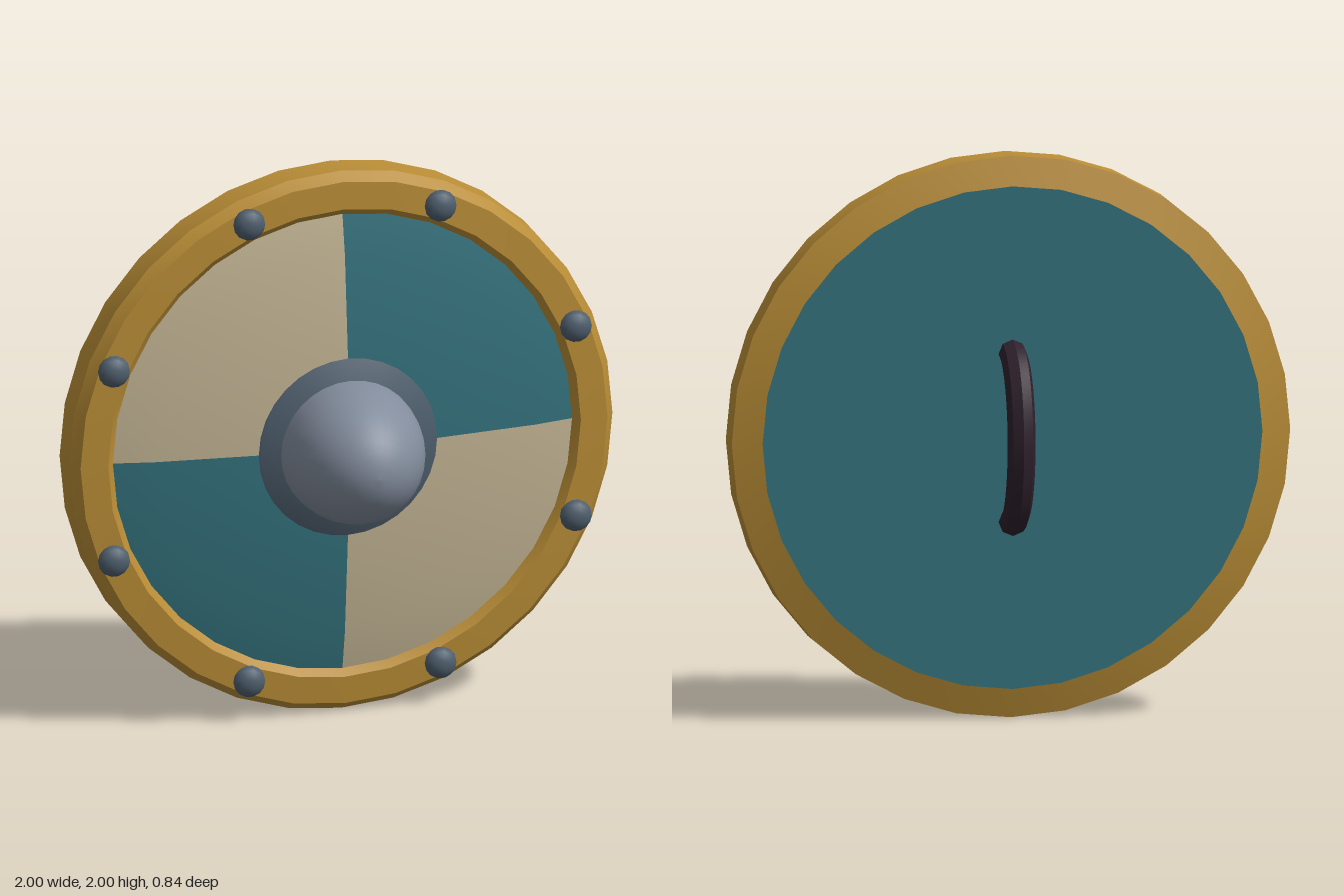
import * as THREE from 'three';
import { toCreasedNormals } from 'three/addons/utils/BufferGeometryUtils.js';

const mat = (name, color) => {
  const m = new THREE.MeshStandardMaterial({ color });
  m.name = name;
  return m;
};

// Turns a [radius, z] profile around the shield's z axis.
function turned(profile, segments, start = 0, length = Math.PI * 2) {
  const points = profile.map(([r, z]) => new THREE.Vector2(r, z));
  return new THREE.LatheGeometry(points, segments, start, length).rotateX(Math.PI / 2);
}

export function createModel() {
  const gold = mat('gold', 0xb98d36);
  const teal = mat('teal', 0x34727d);
  const cream = mat('cream', 0xc3b594);
  const steel = mat('steel', 0x828c9c);
  const iron = mat('darkIron', 0x4f5f6e);
  const leather = mat('darkLeather', 0x2e202c);

  const shield = new THREE.Group();
  shield.name = 'roundShield';
  shield.position.y = 1;
  const add = (name, geometry, material) => {
    const mesh = new THREE.Mesh(geometry, material);
    mesh.name = name;
    shield.add(mesh);
    return mesh;
  };

  // Bevelled rim, open at the middle
  const rimProfile = [[0.895, -0.195], [1, -0.165], [1, -0.05], [0.97, -0.01], [0.87, -0.004], [0.835, -0.045]];
  add('rim', toCreasedNormals(turned(rimProfile, 32), 0.35), gold);

  // Slightly domed front board in four painted quarters
  const boardProfile = [[0.845, -0.03], [0.7, 0], [0.5, 0.02], [0.33, 0.037], [0, 0.05]];
  const quarters = ['lowerLeft', 'upperLeft', 'upperRight', 'lowerRight'];
  quarters.forEach((corner, i) => {
    const geometry = turned(boardProfile, 8, i * Math.PI / 2, Math.PI / 2);
    add(corner + 'Quarter', geometry, i % 2 ? teal : cream);
  });

  // Flat back board
  add('backBoard', new THREE.CircleGeometry(0.895, 32).rotateY(Math.PI).translate(0, 0, -0.195), teal);

  // Sloped collar and pointed-oval boss
  add('bossCollar', turned([[0.33, 0.034], [0.325, 0.042], [0.25, 0.068]], 32), iron);
  const bossProfile = [];
  for (let i = 0; i <= 12; i++) {
    const a = i / 12 * Math.PI / 2;
    bossProfile.push([0.255 * Math.cos(a), 0.064 + 0.356 * Math.sin(a)]);
  }
  add('boss', turned(bossProfile, 32), steel);

  // Eight rivets around the rim
  const rivet = new THREE.SphereGeometry(0.058, 14, 10).rotateX(Math.PI / 2).scale(1, 1, 0.7);
  for (let i = 0; i < 8; i++) {
    const a = (i + 0.5) * Math.PI / 4;
    add('rivet' + (i + 1), rivet, iron).position.set(0.92 * Math.cos(a), 0.92 * Math.sin(a), 0);
  }

  // Curved grip, its ends sunk into the back board
  const path = [];
  for (let i = 0; i <= 12; i++) {
    const a = i / 12 * Math.PI;
    path.push(new THREE.Vector3(0, 0.303 * Math.cos(a), -0.17 - 0.2 * Math.sin(a)));
  }
  const grip = new THREE.TubeGeometry(new THREE.CatmullRomCurve3(path), 20, 0.05, 8);
  add('grip', toCreasedNormals(grip, 0.6), leather);

  const model = new THREE.Group();
  model.name = 'shieldModel';
  model.add(shield);
  return model;
}
